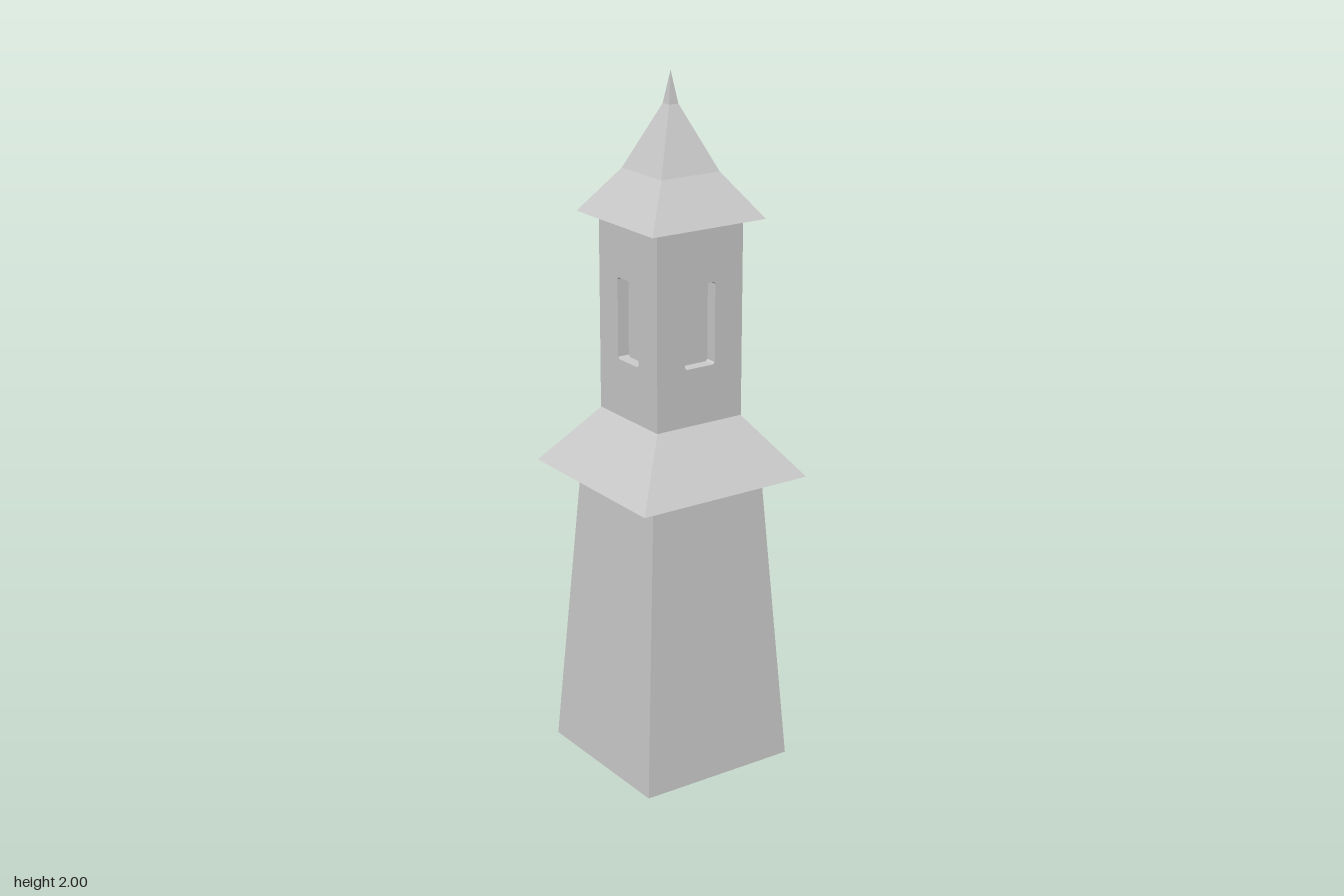
import * as THREE from 'three';
import { mergeGeometries } from 'three/addons/utils/BufferGeometryUtils.js';

const material = new THREE.MeshStandardMaterial({ color: 0xcccccc, flatShading: true });

const toShape = (pts) => new THREE.Shape(pts.map(([x, y]) => new THREE.Vector2(x, y)));

function mesh(name, geometry) {
  const m = new THREE.Mesh(geometry, material);
  m.name = name;
  return m;
}

// Flat sheet of a shape, pushed back by depth
function sheet(shape, depth = 0) {
  const g = new THREE.ShapeGeometry(shape).toNonIndexed();
  g.deleteAttribute('uv');
  return g.translate(0, 0, -depth);
}

// Inner sides of a recess along a counter-clockwise path
function jambs(path, depth, closed) {
  const pos = [];
  const count = closed ? path.length : path.length - 1;
  for (let i = 0; i < count; i++) {
    const [ax, ay] = path[i];
    const [bx, by] = path[(i + 1) % path.length];
    pos.push(ax, ay, 0, bx, by, 0, bx, by, -depth);
    pos.push(ax, ay, 0, bx, by, -depth, ax, ay, -depth);
  }
  const g = new THREE.BufferGeometry();
  g.setAttribute('position', new THREE.Float32BufferAttribute(pos, 3));
  g.computeVertexNormals();
  return g;
}

// Moves a flat wall out to the tower's half-width at each height
function lean(geometry, halfAt) {
  const p = geometry.attributes.position;
  for (let i = 0; i < p.count; i++) p.setZ(i, p.getZ(i) + halfAt(p.getY(i)));
  geometry.computeVertexNormals();
  return geometry;
}

// Square roof from a [half-width, height] profile, closed underneath
function squareRoof(name, profile) {
  const pts = [[0, profile[0][1]], ...profile]
    .map(([r, y]) => new THREE.Vector2(r * Math.SQRT2, y));
  return mesh(name, new THREE.LatheGeometry(pts, 4, Math.PI / 4));
}

export function createModel() {
  const tower = new THREE.Group();
  tower.name = 'tower';

  // Tapered base with a pointed doorway on the left (+x) side
  const B = 0.242, T = 0.183, H = 0.87;
  const baseHalf = (y) => B + (T - B) * y / H;
  const doorDepth = 0.103;
  const door = [[0.082, 0], [0.077, 0.307], [0, 0.34], [-0.077, 0.307], [-0.082, 0]];
  const base = new THREE.Group();
  base.name = 'base';
  for (let i = 0; i < 4; i++) {
    const hasDoor = i === 1;
    const outline = [[B, 0], [T, H], [-T, H], [-B, 0]];
    if (hasDoor) outline.push(...[...door].reverse());
    const parts = [sheet(toShape(outline))];
    if (hasDoor) parts.push(jambs(door, doorDepth, false), sheet(toShape(door), doorDepth));
    const wall = mesh(hasDoor ? 'doorWall' : 'baseWall', lean(mergeGeometries(parts), baseHalf));
    wall.rotation.y = i * Math.PI / 2;
    base.add(wall);
  }

  // Underside, notched at the doorway
  const n = 0.082, inner = B - doorDepth;
  const floor = toShape([[-B, -B], [B, -B], [B, -n], [inner, -n], [inner, n], [B, n], [B, B], [-B, B]]);
  base.add(mesh('underside', new THREE.ShapeGeometry(floor).rotateX(Math.PI / 2)));
  tower.add(base);

  tower.add(squareRoof('lowerRoof', [[0.273, 0.87], [0.14, 1.042]]));

  // Upper room with a recessed window on each side
  const U = 0.141, y0 = 1.042, y1 = 1.605;
  const w = 0.05, b = 1.207, t = 1.441, c = 0.006, windowDepth = 0.035;
  const opening = [
    [-w + c, b], [w - c, b], [w, b + c], [w, t - c],
    [w - c, t], [-w + c, t], [-w, t - c], [-w, b + c],
  ];
  const upper = new THREE.Group();
  upper.name = 'upperRoom';
  for (let i = 0; i < 4; i++) {
    const outline = toShape([[-U, y0], [U, y0], [U, y1], [-U, y1]]);
    outline.holes.push(toShape(opening));
    const parts = [sheet(outline), jambs(opening, windowDepth, true), sheet(toShape(opening), windowDepth)];
    const wall = mesh('windowWall', lean(mergeGeometries(parts), () => U));
    wall.rotation.y = i * Math.PI / 2;
    upper.add(wall);
  }
  tower.add(upper);

  // Flared spire
  tower.add(squareRoof('spire', [[0.185, 1.605], [0.095, 1.73], [0.015, 1.91], [0, 2]]));

  return tower;
}
